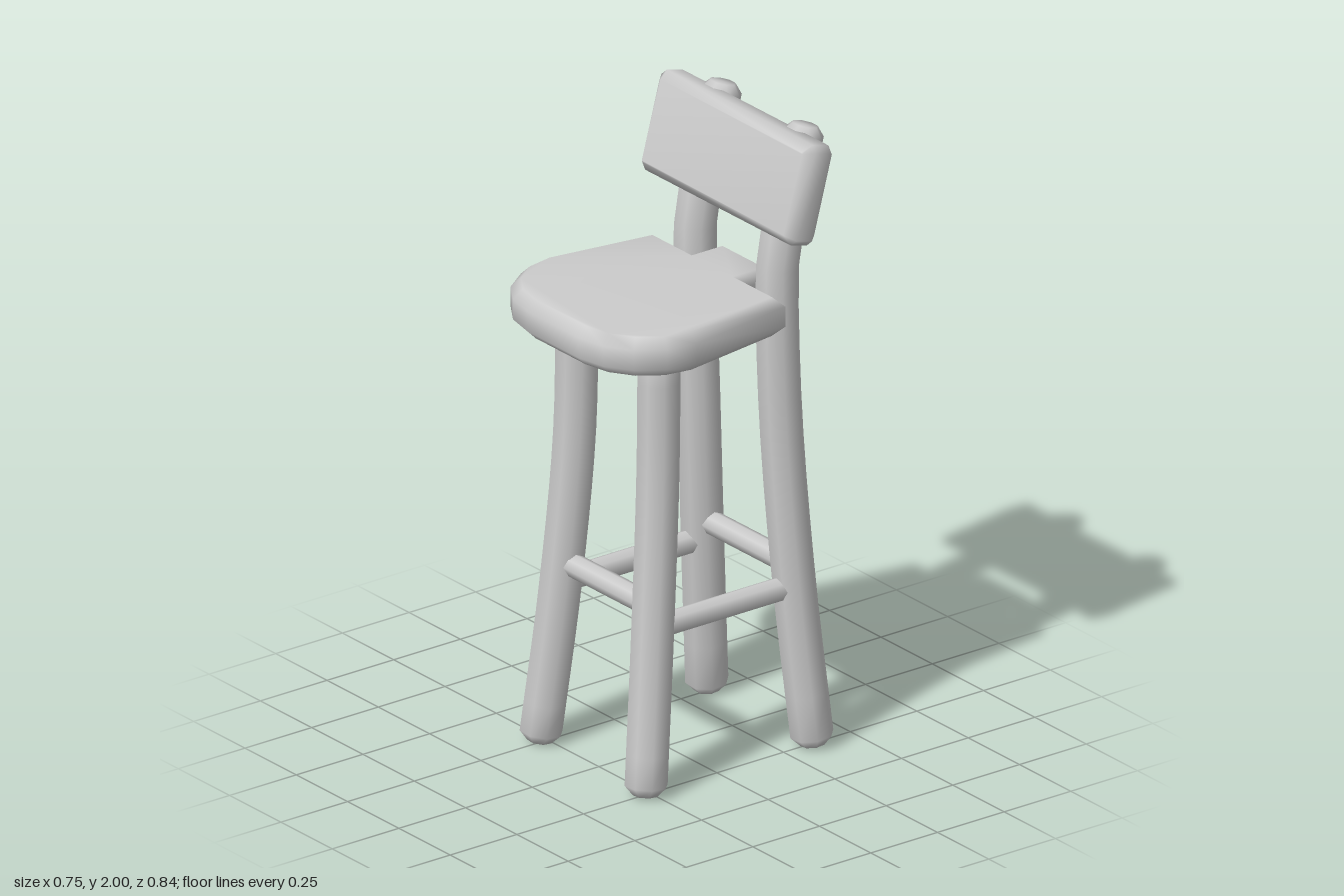
import * as THREE from 'three';
import { mergeVertices } from 'three/addons/utils/BufferGeometryUtils.js';

const material = new THREE.MeshStandardMaterial({ color: 0xcccccc });
const SIDES = 8;
const LEG_RADIUS = 0.0665;

function addMesh(parent, name, geometry) {
  const mesh = new THREE.Mesh(geometry, material);
  mesh.name = name;
  parent.add(mesh);
  return mesh;
}

// Eight-sided bar swept along a curve, with chamfered ends
function barGeometry(points) {
  const curve = new THREE.CatmullRomCurve3(points.map((p) => new THREE.Vector3(...p)));
  const chamfer = 0.03 / curve.getLength();
  const steps = 14;
  const rings = [[0, 0.6]];
  for (let i = 0; i <= steps; i++) rings.push([chamfer + (1 - 2 * chamfer) * (i / steps), 1]);
  rings.push([1, 0.6]);

  const positions = [];
  const index = [];
  for (const [u, scale] of rings) {
    const centre = curve.getPointAt(u);
    const tangent = curve.getTangentAt(u);
    const xAxis = new THREE.Vector3(1, 0, 0).addScaledVector(tangent, -tangent.x).normalize();
    const zAxis = new THREE.Vector3().crossVectors(xAxis, tangent);
    for (let j = 0; j < SIDES; j++) {
      const a = ((j + 0.5) / SIDES) * Math.PI * 2;
      const p = centre.clone()
        .addScaledVector(xAxis, Math.cos(a) * LEG_RADIUS * scale)
        .addScaledVector(zAxis, Math.sin(a) * LEG_RADIUS * scale);
      positions.push(p.x, p.y, p.z);
    }
  }
  const bottom = positions.length / 3;
  const top = bottom + 1;
  positions.push(...curve.getPointAt(0).toArray(), ...curve.getPointAt(1).toArray());
  const last = (rings.length - 1) * SIDES;
  for (let j = 0; j < SIDES; j++) {
    const k = (j + 1) % SIDES;
    for (let i = 0; i < last; i += SIDES) {
      index.push(i + j, i + SIDES + j, i + k, i + k, i + SIDES + j, i + SIDES + k);
    }
    index.push(bottom, j, k, top, last + k, last + j);
  }
  const geometry = new THREE.BufferGeometry();
  geometry.setAttribute('position', new THREE.Float32BufferAttribute(positions, 3));
  geometry.setIndex(index);
  geometry.computeVertexNormals();
  return geometry;
}

// Slab with a single soft bevel, centred on its thickness
function slabGeometry(outline, thickness, bevel) {
  const shape = new THREE.Shape(outline.map(([x, y]) => new THREE.Vector2(x, y)));
  let geometry = new THREE.ExtrudeGeometry(shape, {
    depth: thickness - 2 * bevel,
    bevelThickness: bevel,
    bevelSize: bevel,
    bevelOffset: -bevel,
    bevelSegments: 1,
  });
  geometry.translate(0, 0, bevel - thickness / 2);
  geometry.deleteAttribute('normal');
  geometry.deleteAttribute('uv');
  geometry = mergeVertices(geometry, 1e-4);
  geometry.computeVertexNormals();
  return geometry;
}

// Round rung between two points
function addRung(parent, name, from, to) {
  const a = new THREE.Vector3(...from);
  const b = new THREE.Vector3(...to);
  const direction = b.clone().sub(a);
  const rung = addMesh(parent, name, new THREE.CylinderGeometry(0.037, 0.037, direction.length(), SIDES));
  rung.position.copy(a).add(b).multiplyScalar(0.5);
  rung.quaternion.setFromUnitVectors(new THREE.Vector3(0, 1, 0), direction.normalize());
}

export function createModel() {
  const stool = new THREE.Group();
  stool.name = 'barStool';

  // Splayed front legs, and back legs that rise into the backrest posts
  const frontLeg = [[0.258, 0.004, 0.273], [0.225, 0.5, 0.222], [0.203, 1, 0.185], [0.2, 1.43, 0.178]];
  const backLeg = [
    [0.258, 0.004, -0.354], [0.225, 0.5, -0.312], [0.203, 1, -0.28], [0.2, 1.35, -0.266],
    [0.2, 1.56, -0.266], [0.2, 1.7, -0.29], [0.2, 1.988, -0.369],
  ];
  for (const [side, label] of [[1, 'left'], [-1, 'right']]) {
    const mirror = (points) => points.map(([x, y, z]) => [x * side, y, z]);
    addMesh(stool, label + 'FrontLeg', barGeometry(mirror(frontLeg)));
    addMesh(stool, label + 'BackLeg', barGeometry(mirror(backLeg)));
    addRung(stool, label + 'Rung', [0.222 * side, 0.517, 0.215], [0.222 * side, 0.517, -0.305]);
  }

  // Front and back rungs sit a little higher than the side ones
  addRung(stool, 'frontRung', [-0.21, 0.585, 0.215], [0.21, 0.585, 0.215]);
  addRung(stool, 'backRung', [-0.21, 0.585, -0.305], [0.21, 0.585, -0.305]);

  // Seat: rounded front, tapered sides, and a tongue between the back legs
  const half = [
    [0.13, -0.32], [0.13, -0.205], [0.317, -0.205], [0.375, 0.17],
    [0.357, 0.268], [0.3, 0.35], [0.22, 0.403], [0.125, 0.423],
  ];
  const rim = [...half, ...half.map(([x, z]) => [-x, z]).reverse()];
  const seat = addMesh(stool, 'seat', slabGeometry(rim.map(([x, z]) => [x, -z]), 0.125, 0.03));
  seat.rotation.x = -Math.PI / 2;
  seat.position.y = 1.447;

  // Backrest: leaning board with clipped corners
  const w = 0.375, h = 0.157, c = 0.02;
  const board = [
    [w - c, -h], [w, -h + c], [w, h - c], [w - c, h],
    [-w + c, h], [-w, h - c], [-w, -h + c], [-w + c, -h],
  ];
  const backrest = addMesh(stool, 'backrest', slabGeometry(board, 0.115, 0.027));
  backrest.position.set(0, 1.837, -0.267);
  backrest.rotation.x = -0.265;

  return stool;
}
